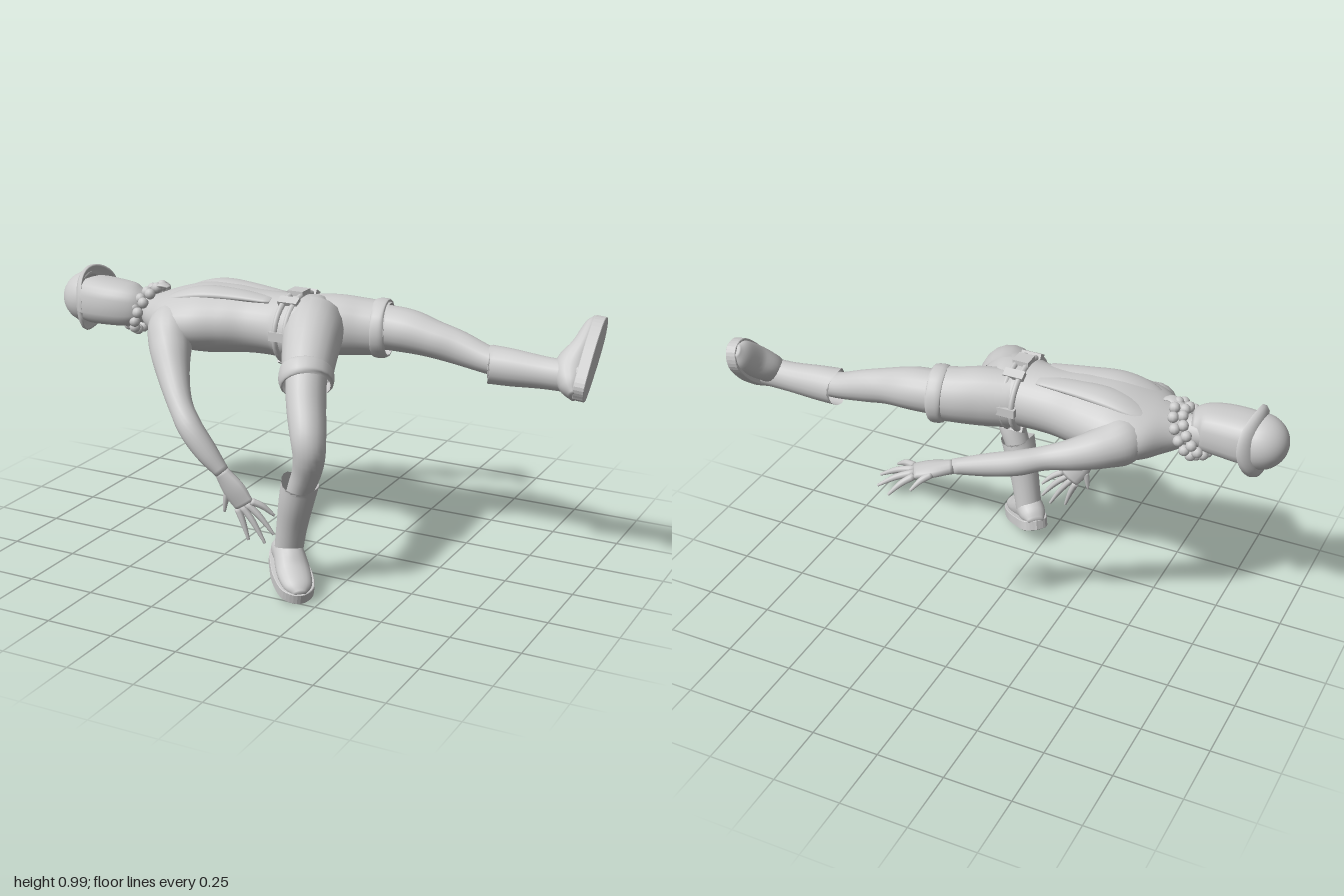
import * as THREE from 'three';

const V = (p) => new THREE.Vector3(p[0], p[1], p[2]);
const mat = new THREE.MeshStandardMaterial({ color: 0xcccccc, side: THREE.DoubleSide });
const power = (v, e) => Math.sign(v) * Math.abs(v) ** e;

// Smooth skin through stations [x, y, z, radius along ref, radius across]
function loftGeometry(stations, ref = [0, 1, 0], { steps = 6, sides = 20, rim = null, open = false, boxy = 1 } = {}) {
  const path = new THREE.CatmullRomCurve3(stations.map(V), false, 'catmullrom');
  const size = new THREE.CatmullRomCurve3(
    stations.map((s) => new THREE.Vector3(s[3], s[4] ?? s[3], 0)), false, 'catmullrom');
  const n = (stations.length - 1) * steps;
  const pos = [], index = [];
  for (let i = 0; i <= n; i++) {
    const c = path.getPoint(i / n), t = path.getTangent(i / n), r = size.getPoint(i / n);
    const a = V(ref).addScaledVector(t, -V(ref).dot(t)).normalize();
    const b = t.clone().cross(a);
    for (let j = 0; j < sides; j++) {
      const q = (j / sides) * Math.PI * 2;
      const p = c.clone().addScaledVector(a, power(Math.cos(q), boxy) * r.x)
        .addScaledVector(b, power(Math.sin(q), boxy) * r.y);
      if (rim && i === 0) p.addScaledVector(t, rim(q));
      pos.push(p.x, p.y, p.z);
      if (i < n) {
        const k = i * sides + j, l = i * sides + (j + 1) % sides;
        index.push(k, l, k + sides, l, l + sides, k + sides);
      }
    }
  }
  // end caps
  if (!open) {
    for (const [i, s] of [[0, stations[0]], [n, stations.at(-1)]]) {
      const mid = pos.length / 3;
      pos.push(s[0], s[1], s[2]);
      for (let j = 0; j < sides; j++) {
        const k = i * sides + j, l = i * sides + (j + 1) % sides;
        index.push(...(i ? [k, l, mid] : [l, k, mid]));
      }
    }
  }
  const g = new THREE.BufferGeometry();
  g.setAttribute('position', new THREE.Float32BufferAttribute(pos, 3));
  g.setIndex(index);
  g.computeVertexNormals();
  return g;
}

function add(parent, name, geometry, at = [0, 0, 0]) {
  const m = new THREE.Mesh(geometry, mat);
  m.name = name;
  m.position.set(...at);
  parent.add(m);
  return m;
}
const loft = (parent, name, stations, ref, opt) => add(parent, name, loftGeometry(stations, ref, opt));

// Flat palm and five tapering fingers; the last tip is the thumb
function addHand(parent, wrist, knuckles, across, tips) {
  const hand = new THREE.Group();
  hand.name = 'hand';
  const w = V(wrist), k = V(knuckles), side = V(across).normalize();
  const mid = w.clone().lerp(k, 0.55);
  loft(hand, 'palm', [[...w, 0.026, 0.024], [...mid, 0.045, 0.022], [...k, 0.042, 0.015]], across, { sides: 12 });
  tips.forEach((tip, i) => {
    const thumb = i === 4;
    const base = (thumb ? mid.clone() : k.clone()).addScaledVector(side, thumb ? -0.033 : 0.033 - i * 0.022);
    const bend = base.clone().lerp(V(tip), 0.5);
    bend.y += 0.008;
    loft(hand, thumb ? 'thumb' : 'finger',
      [[...base, 0.013], [...bend, 0.011], [...tip, 0.005]], across, { steps: 4, sides: 8 });
  });
  parent.add(hand);
}

// Boot foot: local z points to the toe, y up the leg, origin under the heel
function addFoot(parent, heel, toeDir, upDir, length) {
  const foot = new THREE.Group();
  foot.name = 'bootFoot';
  const z = V(toeDir).normalize();
  const y = V(upDir).addScaledVector(z, -V(upDir).dot(z)).normalize();
  foot.quaternion.setFromRotationMatrix(new THREE.Matrix4().makeBasis(y.clone().cross(z), y, z));
  foot.position.set(...heel);
  const outline = new THREE.Shape();
  outline.setFromPoints(new THREE.SplineCurve([[0, 0], [0.045, 0.07], [0.062, 0.33], [0.068, 0.6], [0.053, 0.88],
    [0, 1], [-0.053, 0.88], [-0.068, 0.6], [-0.062, 0.33], [-0.045, 0.07], [0, 0]]
    .map(([u, v]) => new THREE.Vector2(u, -v * length))).getPoints(50));
  const sole = new THREE.ExtrudeGeometry(outline, { depth: 0.035, bevelEnabled: true, bevelSize: 0.002, bevelThickness: 0.002, bevelSegments: 1 });
  sole.rotateX(-Math.PI / 2);
  add(foot, 'sole', sole, [0, 0.002, 0]);
  loft(foot, 'upper', [[0, 0.036, 0.012, 0.012, 0.03], [0, 0.055, 0.14, 0.045, 0.05], [0, 0.07, 0.34, 0.06, 0.054],
    [0, 0.052, 0.6, 0.043, 0.06], [0, 0.043, 0.85, 0.03, 0.05], [0, 0.037, 0.98, 0.014, 0.02]]
    .map(([u, v, w, ...r]) => [u, v, w * length, ...r]));
  parent.add(foot);
}

export function createModel() {
  const model = new THREE.Group();

  // Torso lying chest up, shoulders toward -x
  loft(model, 'torso', [[-0.65, 0.84, 0.085, 0.05, 0.055], [-0.59, 0.838, 0.085, 0.075, 0.115],
    [-0.51, 0.84, 0.08, 0.1, 0.19], [-0.4, 0.845, 0.072, 0.122, 0.2], [-0.29, 0.85, 0.065, 0.12, 0.168],
    [-0.19, 0.85, 0.062, 0.113, 0.138], [-0.09, 0.85, 0.063, 0.113, 0.135], [-0.02, 0.85, 0.07, 0.12, 0.147],
    [0.05, 0.85, 0.07, 0.113, 0.15], [0.11, 0.85, 0.055, 0.06, 0.1]], [0, 1, 0], { sides: 32 });
  for (const s of [-1, 1]) {
    loft(model, 'shirtFront', [[-0.57, 0.885, 0.08 + s * 0.045, 0.01, 0.025], [-0.48, 0.925, 0.075 + s * 0.06, 0.02, 0.055],
      [-0.38, 0.948, 0.07 + s * 0.06, 0.024, 0.058], [-0.26, 0.95, 0.065 + s * 0.05, 0.02, 0.048],
      [-0.12, 0.945, 0.063 + s * 0.042, 0.01, 0.036]]);
  }

  // Belt with two cords, loops and buckle
  for (const x of [-0.055, -0.015]) {
    const cord = add(model, 'belt', new THREE.TorusGeometry(1, 0.09, 8, 40), [x, 0.848, 0.067]);
    cord.rotation.y = Math.PI / 2;
    cord.scale.set(0.145, 0.123, 0.12);
  }
  for (let i = 0; i < 6; i++) {
    const q = (i / 6) * Math.PI * 2 + 0.52;
    const loop = add(model, 'beltLoop', new THREE.BoxGeometry(0.075, 0.02, 0.032),
      [-0.035, 0.85 + Math.cos(q) * 0.126, 0.067 + Math.sin(q) * 0.15]);
    loop.rotation.x = q;
  }
  add(model, 'buckle', new THREE.BoxGeometry(0.06, 0.018, 0.06), [-0.035, 0.978, 0.067]);

  // Head, neck and hat
  loft(model, 'neck', [[-0.55, 0.84, 0.085, 0.065], [-0.64, 0.845, 0.088, 0.056], [-0.72, 0.855, 0.095, 0.06]]);
  loft(model, 'head', [[-0.93, 0.865, 0.1, 0.06, 0.065], [-0.87, 0.862, 0.108, 0.084, 0.09], [-0.78, 0.862, 0.116, 0.083, 0.093],
    [-0.7, 0.86, 0.112, 0.075, 0.08], [-0.655, 0.86, 0.1, 0.05, 0.055]], [0, 1, 0], { sides: 24, boxy: 0.75 });
  const hat = new THREE.Group();
  hat.name = 'hat';
  hat.position.set(-0.895, 0.863, 0.1);
  hat.rotation.set(0.2, 0, Math.PI / 2 - 0.08);
  const crown = add(hat, 'crown', new THREE.SphereGeometry(0.098, 28, 12, 0, Math.PI * 2, 0, Math.PI / 2));
  crown.scale.y = 1.05;
  const brim = new THREE.LatheGeometry([[0.088, 0.012], [0.108, 0.006], [0.122, -0.008], [0.125, -0.022],
    [0.118, -0.02], [0.104, -0.01], [0.088, -0.007]].map((p) => new THREE.Vector2(...p)), 36);
  const bp = brim.attributes.position;
  for (let i = 0; i < bp.count; i++) { // curl the two sides
    bp.setY(i, bp.getY(i) + (bp.getX(i) ** 2 - bp.getZ(i) ** 2) * 1.2);
  }
  brim.computeVertexNormals();
  add(hat, 'brim', brim);
  model.add(hat);

  // Tilted double row of beads around the neck
  for (let row = 0; row < 2; row++) {
    for (let i = 0; i < 14; i++) {
      const q = ((i + row * 0.5) / 14) * Math.PI * 2, r = row ? 0.086 : 0.074;
      add(model, 'neckBead', new THREE.SphereGeometry(0.02, 10, 8),
        [-0.675 + row * 0.032 + Math.cos(q) * 0.045, 0.85 + Math.cos(q) * r, 0.087 + Math.sin(q) * r]);
    }
  }
  loft(model, 'neckTie', [[-0.62, 0.925, 0.09, 0.014, 0.02], [-0.58, 0.945, 0.1, 0.008, 0.022], [-0.55, 0.94, 0.1, 0.004, 0.012]]);

  // Supporting side arm, reaching down to the boot
  loft(model, 'rightArm', [[-0.5, 0.855, 0.13, 0.045], [-0.475, 0.83, 0.205, 0.085], [-0.445, 0.77, 0.27, 0.076],
    [-0.395, 0.695, 0.335, 0.058], [-0.33, 0.615, 0.4, 0.044], [-0.27, 0.545, 0.432, 0.044], [-0.21, 0.47, 0.432, 0.04],
    [-0.15, 0.4, 0.425, 0.026]]);
  addHand(model, [-0.155, 0.405, 0.425], [-0.075, 0.285, 0.405], [0.83, 0.55, 0],
    [[0.025, 0.25, 0.37], [0.03, 0.185, 0.385], [0, 0.15, 0.395], [-0.06, 0.155, 0.405], [-0.15, 0.25, 0.415]]);

  // Free arm, stretched out behind
  loft(model, 'leftArm', [[-0.5, 0.84, 0.02, 0.045], [-0.465, 0.838, -0.055, 0.085], [-0.415, 0.83, -0.12, 0.072],
    [-0.34, 0.815, -0.175, 0.056], [-0.25, 0.8, -0.22, 0.042], [-0.17, 0.785, -0.265, 0.044],
    [-0.08, 0.775, -0.305, 0.04], [0.03, 0.77, -0.36, 0.026]]);
  addHand(model, [0.025, 0.77, -0.36], [0.145, 0.755, -0.42], [0.45, 0, 0.9],
    [[0.24, 0.72, -0.36], [0.27, 0.71, -0.43], [0.255, 0.7, -0.48], [0.2, 0.695, -0.508], [0.13, 0.715, -0.48]]);

  // Straight leg: open shorts leg, rolled cuff, bare leg, boot
  const openEnd = { open: true };
  loft(model, 'leftShorts', [[-0.02, 0.85, 0.01, 0.108, 0.095], [0.08, 0.85, -0.022, 0.11, 0.095],
    [0.16, 0.848, -0.048, 0.103, 0.093], [0.255, 0.845, -0.067, 0.096, 0.09]], [0, 1, 0], openEnd);
  loft(model, 'leftCuff', [[0.2, 0.847, -0.062, 0.095, 0.09], [0.212, 0.847, -0.064, 0.106, 0.1],
    [0.245, 0.845, -0.068, 0.106, 0.1], [0.257, 0.845, -0.07, 0.093, 0.087]], [0, 1, 0], openEnd);
  loft(model, 'leftLeg', [[0.1, 0.85, -0.04, 0.08, 0.08], [0.22, 0.85, -0.067, 0.08, 0.08], [0.33, 0.845, -0.075, 0.077, 0.08],
    [0.43, 0.828, -0.075, 0.066, 0.065], [0.52, 0.808, -0.08, 0.06, 0.055], [0.63, 0.78, -0.078, 0.048, 0.05],
    [0.72, 0.77, -0.075, 0.045, 0.045]]);
  const bootTop = { open: true, rim: (q) => 0.012 - 0.012 * Math.cos(2 * q) };
  loft(model, 'leftBootShaft', [[0.635, 0.768, -0.072, 0.068, 0.068], [0.72, 0.766, -0.076, 0.065, 0.062],
    [0.84, 0.763, -0.08, 0.056, 0.053], [0.965, 0.762, -0.08, 0.055, 0.05]], [0, 1, 0], bootTop);
  addFoot(model, [0.993, 0.704, -0.025], [0, 0.7, -0.7], [-1, -0.03, 0.25], 0.32);

  // Bent leg standing on the ground
  loft(model, 'rightShorts', [[0.02, 0.86, 0.06, 0.11, 0.112], [0.06, 0.843, 0.15, 0.105, 0.112],
    [0.093, 0.8, 0.235, 0.095, 0.1], [0.124, 0.738, 0.318, 0.085, 0.09]], [1, 0, 0], openEnd);
  loft(model, 'rightCuff', [[0.108, 0.77, 0.283, 0.085, 0.088], [0.112, 0.762, 0.292, 0.094, 0.1],
    [0.124, 0.738, 0.318, 0.094, 0.1], [0.13, 0.728, 0.328, 0.082, 0.087]], [1, 0, 0], openEnd);
  loft(model, 'rightLeg', [[0.09, 0.81, 0.23, 0.07, 0.077], [0.12, 0.745, 0.31, 0.07, 0.077], [0.152, 0.67, 0.372, 0.067, 0.074],
    [0.19, 0.59, 0.432, 0.061, 0.065], [0.2, 0.53, 0.445, 0.056, 0.056], [0.178, 0.455, 0.42, 0.05, 0.057],
    [0.145, 0.38, 0.405, 0.045, 0.05], [0.12, 0.3, 0.395, 0.04, 0.045]], [1, 0, 0]);
  loft(model, 'rightBootShaft', [[0.148, 0.415, 0.408, 0.066, 0.066], [0.125, 0.33, 0.397, 0.061, 0.063],
    [0.1, 0.23, 0.382, 0.054, 0.055], [0.075, 0.11, 0.365, 0.05, 0.05]], [1, 0, 0], bootTop);
  addFoot(model, [0.01, 0.08, 0.296], [0.63, -0.27, 0.7], [0.05, 1, 0.05], 0.285);

  return model;
}
